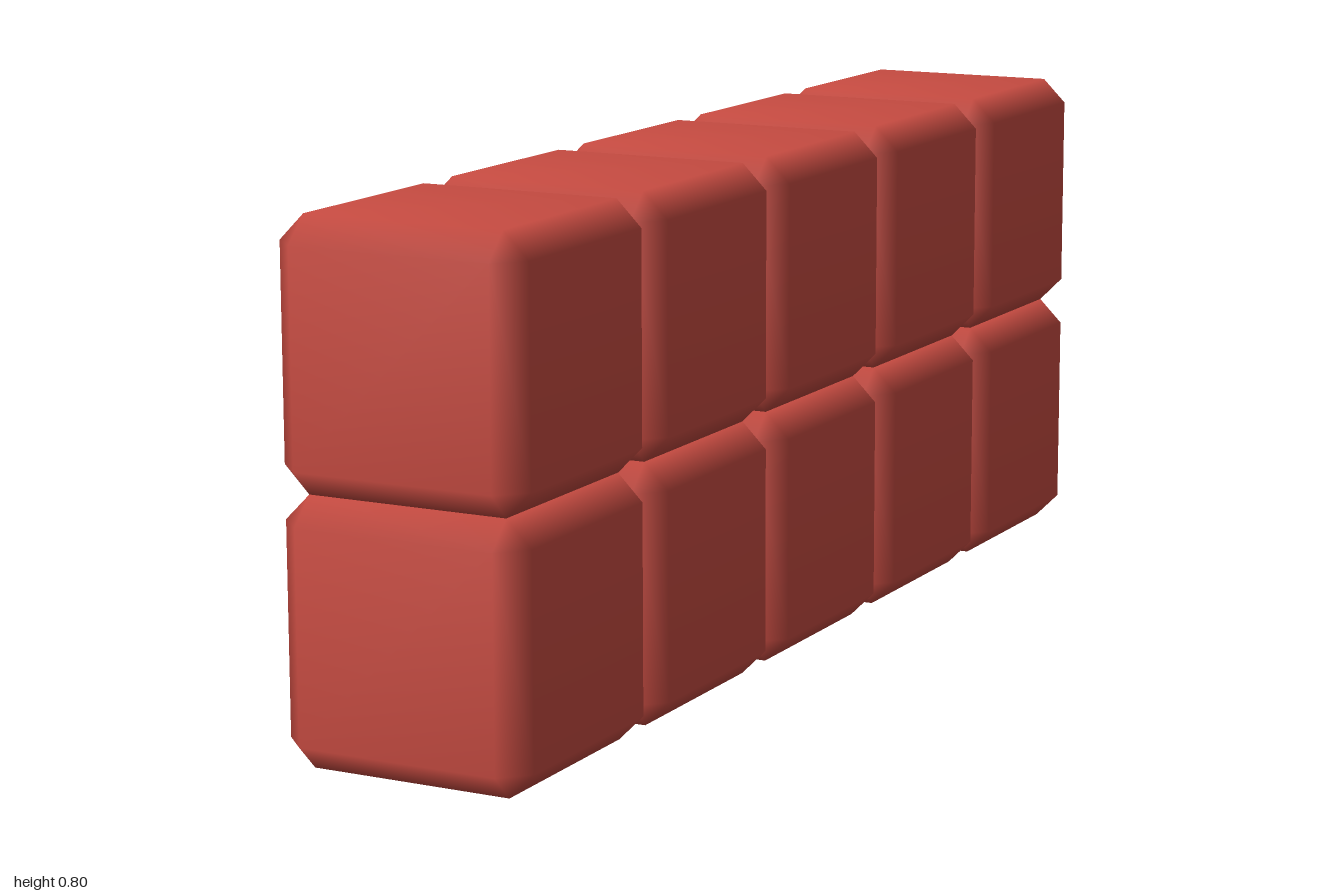
import * as THREE from 'three';
import { ConvexGeometry } from 'three/addons/geometries/ConvexGeometry.js';
import { mergeVertices } from 'three/addons/utils/BufferGeometryUtils.js';

const SIZE = 0.4;
const BEVEL = 0.04;
const COLUMNS = 5;
const ROWS = 2;

// Cube with single-step bevels on edges and corners, normals smoothed across them
function bevelledCube(size, bevel) {
  const outer = size / 2;
  const inner = outer - bevel;
  const points = [];
  for (const sx of [-1, 1]) for (const sy of [-1, 1]) for (const sz of [-1, 1]) {
    points.push(
      new THREE.Vector3(sx * outer, sy * inner, sz * inner),
      new THREE.Vector3(sx * inner, sy * outer, sz * inner),
      new THREE.Vector3(sx * inner, sy * inner, sz * outer)
    );
  }
  const hull = new ConvexGeometry(points);
  hull.deleteAttribute('normal');
  const geometry = mergeVertices(hull, 1e-4);
  geometry.computeVertexNormals();
  return geometry;
}

export function createModel() {
  const wall = new THREE.Group();
  wall.name = 'blockWall';
  const geometry = bevelledCube(SIZE, BEVEL);
  const material = new THREE.MeshStandardMaterial({ color: 0xc94c42 });

  // Two rows of five blocks running front to back
  for (let row = 0; row < ROWS; row++) {
    for (let col = 0; col < COLUMNS; col++) {
      const block = new THREE.Mesh(geometry, material);
      block.name = `block_row${row + 1}_column${col + 1}`;
      block.position.set(0, (row + 0.5) * SIZE, ((COLUMNS - 1) / 2 - col) * SIZE);
      wall.add(block);
    }
  }
  return wall;
}
